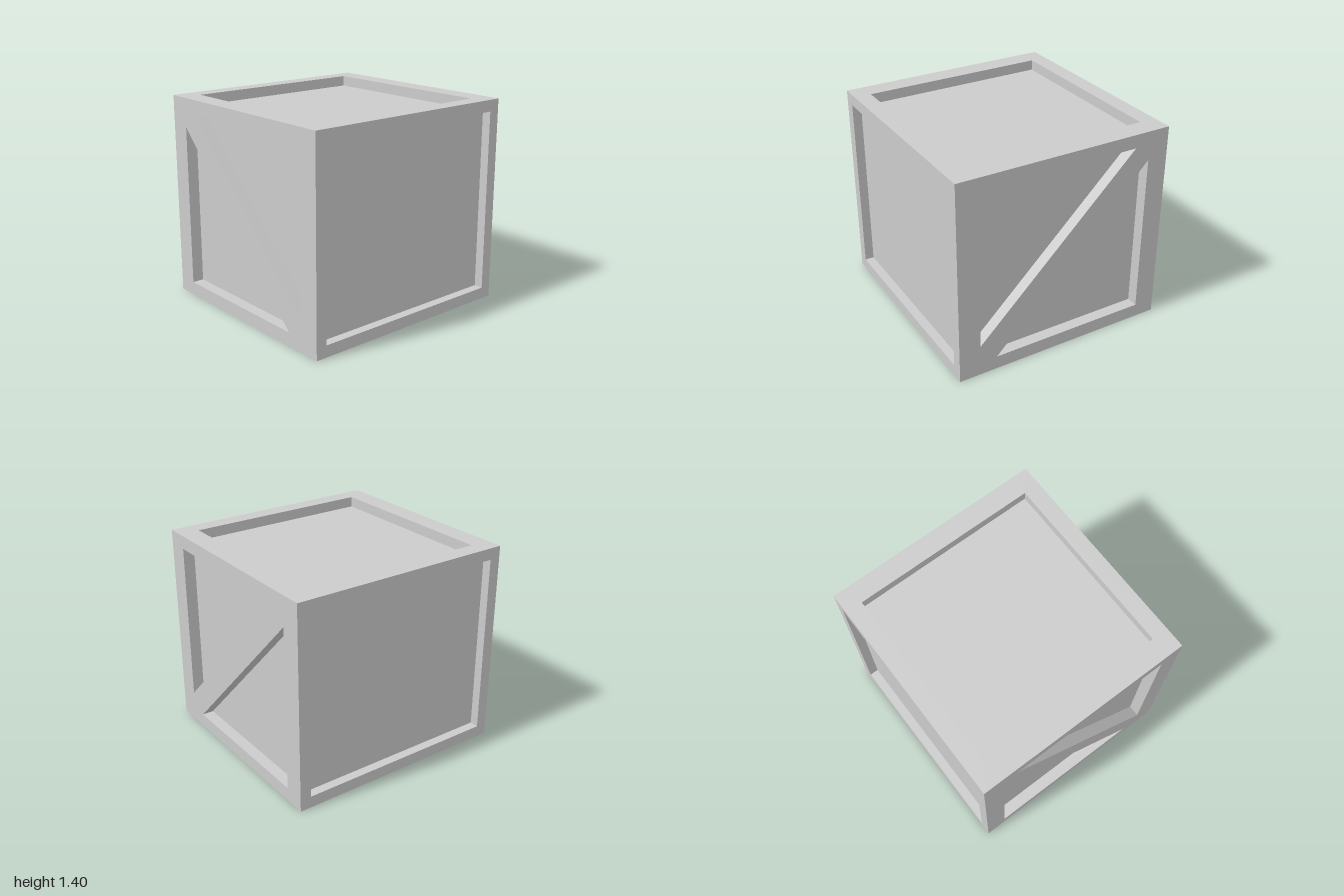
import * as THREE from 'three';

const W = 1.566, D = 1.512, H = 1.404;   // crate size along its own axes
const material = new THREE.MeshStandardMaterial({ color: 0xcccccc, flatShading: true });

const vec = (points) => points.map(([x, y]) => new THREE.Vector2(x, y));
const rect = (x0, y0, x1, y1) => [[x0, y0], [x1, y0], [x1, y1], [x0, y1]];

// Inward-facing side walls of a recess, from the face down to its floor
function recessWalls(points, depth) {
  const loop = THREE.ShapeUtils.isClockWise(points) ? [...points].reverse() : points;
  const pos = [];
  loop.forEach((a, i) => {
    const b = loop[(i + 1) % loop.length];
    pos.push(a.x, a.y, 0, b.x, b.y, 0, b.x, b.y, -depth);
    pos.push(a.x, a.y, 0, b.x, b.y, -depth, a.x, a.y, -depth);
  });
  const geo = new THREE.BufferGeometry();
  geo.setAttribute('position', new THREE.Float32BufferAttribute(pos, 3));
  geo.computeVertexNormals();
  return geo;
}

// One crate side: a flat frame facing +z with sunken panels
function crateSide(name, outline, recesses, depth) {
  const side = new THREE.Group();
  side.name = name;
  const add = (geo, part) => {
    const mesh = new THREE.Mesh(geo, material);
    mesh.name = part;
    side.add(mesh);
    return mesh;
  };
  const frame = new THREE.Shape(vec(outline));
  recesses.map(vec).forEach((points) => {
    frame.holes.push(new THREE.Path(points));
    add(recessWalls(points, depth), 'recessWalls');
    add(new THREE.ShapeGeometry(new THREE.Shape(points)), 'sunkenPanel').position.z = -depth;
  });
  add(new THREE.ShapeGeometry(frame), 'frame');
  return side;
}

export function createModel() {
  const crate = new THREE.Group();
  crate.name = 'crate';

  // Front and back with one large sunken panel
  for (const [name, s] of [['front', 1], ['back', -1]]) {
    const side = crateSide(name, rect(-W / 2, 0, W / 2, H), [rect(-0.706, 0.08, 0.706, 1.325)], 0.063);
    side.position.z = s * D / 2;
    side.rotation.y = s > 0 ? 0 : Math.PI;
    crate.add(side);
  }

  // Left and right with a diagonal brace between two triangular panels
  for (const [name, s] of [['leftSide', 1], ['rightSide', -1]]) {
    const upper = [[-0.507, 1.312], [0.607, 1.312], [0.607, 0.218]];
    const lower = [[-0.612, 1.205], [-0.612, 0.093], [0.489, 0.093]];
    const triangles = [upper, lower].map((t) => t.map(([z, y]) => [-s * z, y]));
    const side = crateSide(name, rect(-D / 2, 0, D / 2, H), triangles, 0.08);
    side.position.x = s * W / 2;
    side.rotation.y = s * Math.PI / 2;
    crate.add(side);
  }

  // Lid with a square sunken panel, and a plain base
  const outline = rect(-W / 2, -D / 2, W / 2, D / 2);
  const lid = crateSide('lid', outline, [rect(-0.641, -0.641, 0.641, 0.641)], 0.072);
  lid.position.y = H;
  lid.rotation.x = -Math.PI / 2;
  const base = crateSide('base', outline, [], 0);
  base.rotation.x = Math.PI / 2;
  crate.add(lid, base);

  // The crate stands turned about its vertical axis
  crate.rotation.y = 0.361;
  const model = new THREE.Group();
  model.name = 'turnedCrate';
  model.add(crate);
  return model;
}
